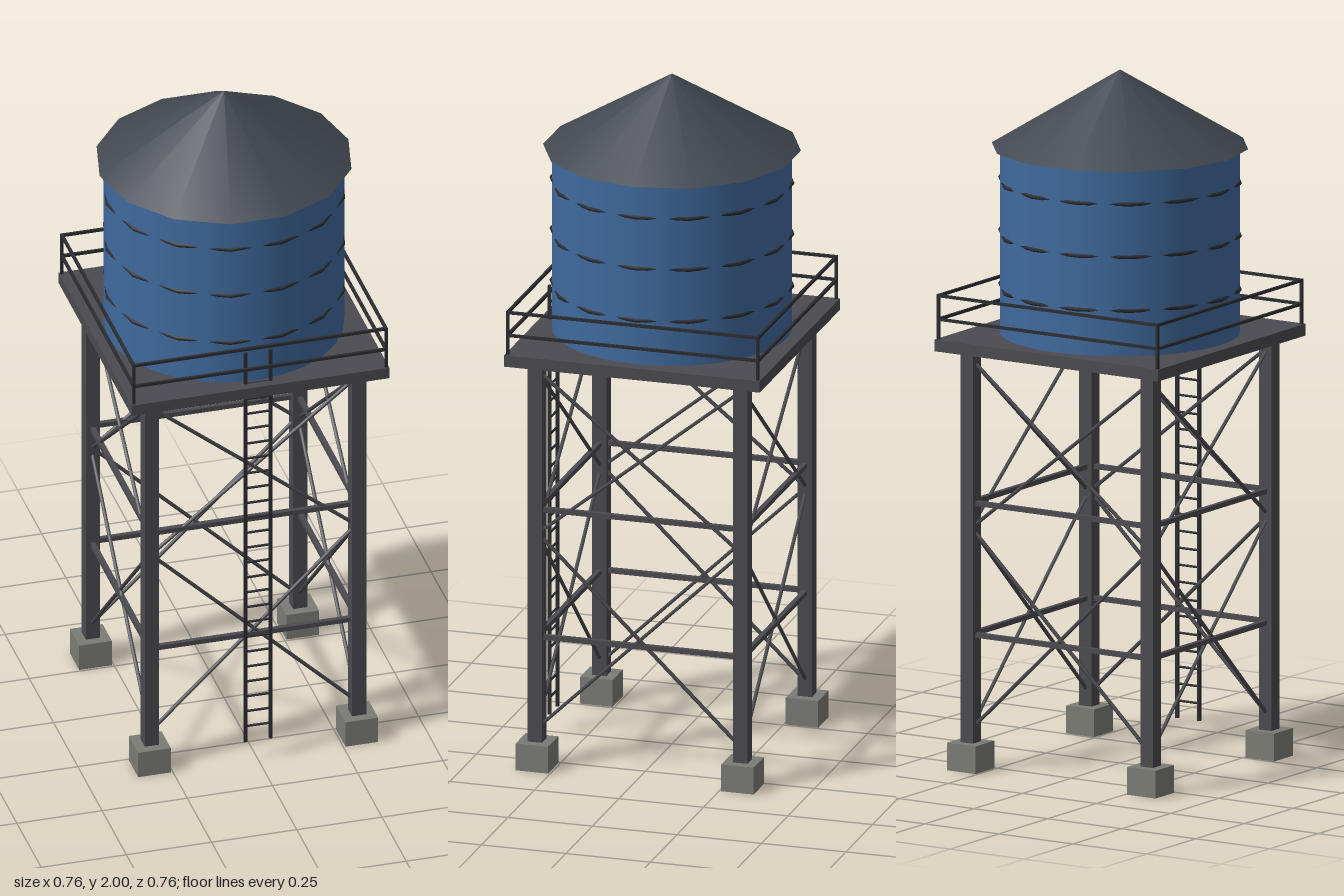
import * as THREE from 'three';

const paint = (color) => new THREE.MeshStandardMaterial({ color });

export function createModel() {
  const model = new THREE.Group();
  const steel = paint(0x4a4a50), dark = paint(0x2b2c30), blue = paint(0x3f6a9e);
  const slate = paint(0x424750), concrete = paint(0x7c7c76);

  function add(parent, name, geometry, material, x = 0, y = 0, z = 0) {
    const mesh = new THREE.Mesh(geometry, material);
    mesh.name = name;
    mesh.position.set(x, y, z);
    parent.add(mesh);
    return mesh;
  }

  function group(name) {
    const g = new THREE.Group();
    g.name = name;
    model.add(g);
    return g;
  }

  // Round or square bar running between two points
  function bar(parent, name, a, b, thickness, material, square = false) {
    const from = new THREE.Vector3(...a), to = new THREE.Vector3(...b);
    const dir = to.clone().sub(from), len = dir.length();
    const geometry = square
      ? new THREE.BoxGeometry(thickness, len, thickness)
      : new THREE.CylinderGeometry(thickness / 2, thickness / 2, len, 6);
    const mesh = add(parent, name, geometry, material);
    mesh.position.copy(from).add(to).multiplyScalar(0.5);
    mesh.quaternion.setFromUnitVectors(new THREE.Vector3(0, 1, 0), dir.normalize());
  }

  // Legs on concrete footings
  const L = 0.304;
  for (const sx of [-1, 1]) {
    for (const sz of [-1, 1]) {
      add(model, 'footing', new THREE.BoxGeometry(0.096, 0.08, 0.096), concrete, sx * L, 0.04, sz * L);
      add(model, 'leg', new THREE.BoxGeometry(0.042, 1.14, 0.042), steel, sx * L, 0.645, sz * L);
    }
  }

  // Girts and cross bracing, plus the railing, on each of four sides
  const R = 0.37;
  for (let i = 0; i < 4; i++) {
    const bracing = group('sideBracing');
    bracing.rotation.y = i * Math.PI / 2;
    for (const y of [0.39, 0.77]) {
      bar(bracing, 'girt', [-L, y, L], [L, y, L], 0.014, steel, true);
    }
    for (const [low, high] of [[0.115, 0.70], [0.695, 1.185]]) {
      bar(bracing, 'brace', [-L, low, L], [L, high, L], 0.011, steel);
      bar(bracing, 'brace', [-L, high, L], [L, low, L], 0.011, steel);
    }

    const railing = group('railing');
    railing.rotation.y = i * Math.PI / 2;
    bar(railing, 'post', [R, 1.24, R], [R, 1.374, R], 0.008, dark, true);
    for (const y of [1.302, 1.37]) {
      bar(railing, 'rail', [-R, y, R], [R, y, R], 0.008, dark, true);
    }
  }

  // Platform
  add(model, 'platform', new THREE.BoxGeometry(0.756, 0.034, 0.756), steel, 0, 1.227, 0);

  // Tank with faceted hoops and conical roof
  add(model, 'tank', new THREE.CylinderGeometry(0.34, 0.34, 0.54, 28), blue, 0, 1.513, 0);
  for (const y of [1.375, 1.53, 1.682]) {
    const hoop = add(model, 'hoop', new THREE.TorusGeometry(0.341, 0.006, 6, 14), dark, 0, y, 0);
    hoop.rotation.x = Math.PI / 2;
  }
  const roof = add(model, 'roof', new THREE.ConeGeometry(0.365, 0.22, 14), slate, 0, 1.89, 0);
  roof.rotation.y = Math.PI / 2;

  // Ladder up the front
  const ladder = group('ladder');
  const ladderZ = 0.35;
  for (const x of [-0.037, 0.037]) {
    bar(ladder, 'stile', [x, 0.065, ladderZ], [x, 1.345, ladderZ], 0.009, dark, true);
  }
  for (let i = 0; i < 25; i++) {
    const y = 0.115 + i * 0.049;
    bar(ladder, 'rung', [-0.037, y, ladderZ], [0.037, y, ladderZ], 0.007, dark);
  }

  return model;
}
